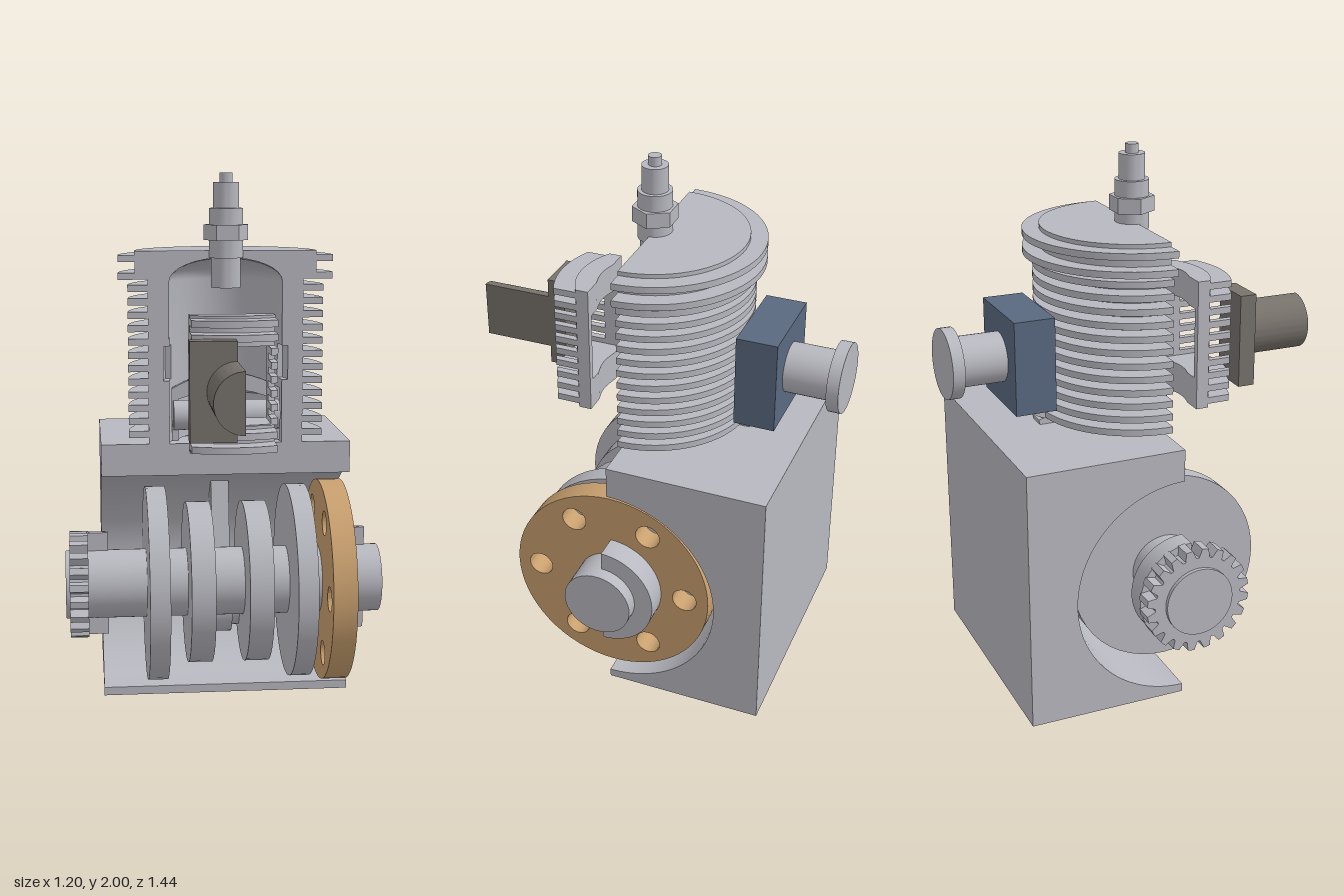
import * as THREE from 'three';
import { mergeGeometries, toCreasedNormals } from 'three/addons/utils/BufferGeometryUtils.js';

const CX = 0.0125, CZ = 0.02, CRANK_Y = 0.45; // bore axis and crank axis
const V = (x, y) => new THREE.Vector2(x, y);

export function createModel() {
  const group = new THREE.Group();
  const mat = (name, color) => {
    const m = new THREE.MeshStandardMaterial({ color });
    m.name = name;
    return m;
  };
  const metal = mat('light grey metal', 0xb8b8c0);
  const bronze = mat('bronze', 0xc9a06f);
  const blue = mat('slate blue', 0x5a6980);
  const brown = mat('exhaust brown', 0x78726c);

  const add = (name, geo, material, x = 0, y = 0, z = 0) => {
    const m = new THREE.Mesh(geo, material);
    m.name = name;
    m.position.set(x, y, z);
    group.add(m);
    return m;
  };
  const box = (name, material, x0, x1, y0, y1, z0, z1) =>
    add(name, new THREE.BoxGeometry(x1 - x0, y1 - y0, z1 - z0), material,
      (x0 + x1) / 2, (y0 + y1) / 2, (z0 + z1) / 2);
  const rodX = (name, x0, x1, r, y = CRANK_Y, z = CZ) =>
    add(name, new THREE.CylinderGeometry(r, r, x1 - x0, 48).rotateZ(Math.PI / 2), metal, (x0 + x1) / 2, y, z);
  const rodZ = (name, z0, z1, r, y) =>
    add(name, new THREE.CylinderGeometry(r, r, z1 - z0, 40).rotateX(Math.PI / 2), metal, CX, y, (z0 + z1) / 2);
  // side profile (u = -z, y) pushed along x
  const sideExtrude = (shape, x0, x1) => toCreasedNormals(
    new THREE.ExtrudeGeometry(shape, { depth: x1 - x0, bevelEnabled: false, curveSegments: 32 })
      .rotateY(Math.PI / 2).translate(x0, 0, 0), 0.6);
  const disc = (r, u = 0, y = 0, hole = 0) => {
    const s = new THREE.Shape().absarc(u, y, r, 0, Math.PI * 2);
    if (hole) s.holes.push(new THREE.Path().absarc(u, y, hole, 0, Math.PI * 2));
    return s;
  };
  // closed profile swept around y between two angles, with flat cut faces
  const sweep = (pts, a = Math.PI / 2, b = Math.PI * 1.5) => {
    const seg = Math.max(3, Math.round((b - a) * 12));
    const skin = toCreasedNormals(new THREE.LatheGeometry([...pts, pts[0]], seg, a, b - a), 0.5);
    const start = new THREE.ShapeGeometry(new THREE.Shape(pts)).rotateY(a - Math.PI / 2);
    const end = new THREE.ShapeGeometry(new THREE.Shape(pts.map(p => V(-p.x, p.y)))).rotateY(b - Math.PI * 1.5);
    return mergeGeometries([skin, start.toNonIndexed(), end.toNonIndexed()]);
  };

  // crankcase: half block with a half-round chamber
  const cs = new THREE.Shape([V(-CZ, 0), V(0.58, 0), V(0.58, 0.99), V(-CZ, 0.99), V(-CZ, 0.868)]);
  cs.absarc(-CZ, CRANK_Y, 0.418, Math.PI / 2, -Math.PI / 2, true);
  add('crankcase', sideExtrude(cs, -0.46, 0.49), metal);

  // half bearing sleeves on both ends
  for (const [x0, x1] of [[-0.52, -0.44], [0.46, 0.55]]) {
    const ring = sweep([V(0.13, x0), V(0.2, x0), V(0.2, x1), V(0.13, x1)]).rotateZ(-Math.PI / 2);
    add('bearingSleeve', ring, metal, 0, CRANK_Y, CZ);
  }

  // crankshaft with its webs and pin
  rodX('crankshaft', -0.6, 0.6, 0.13);
  for (const [x0, x1, r] of [[-0.295, -0.22, 0.37], [0.245, 0.32, 0.37], [-0.14, -0.05, 0.308], [0.075, 0.165, 0.308]])
    rodX('crankWeb', x0, x1, r);
  rodX('crankPin', -0.13, 0.172, 0.085, 0.31, -0.15);

  // flywheel with six holes
  const fw = disc(0.386);
  for (let i = 0; i < 6; i++) {
    const a = i * Math.PI / 3;
    fw.holes.push(new THREE.Path().absarc(0.293 * Math.cos(a), 0.293 * Math.sin(a), 0.047, 0, Math.PI * 2));
  }
  add('flywheel', sideExtrude(fw, 0.37, 0.46), bronze, 0, CRANK_Y, CZ);

  // toothed collar
  const gp = [], teeth = 20;
  for (let i = 0; i < teeth; i++)
    for (const [f, r] of [[0, 0.17], [0.2, 0.203], [0.6, 0.203], [0.8, 0.17]]) {
      const a = (i + f) / teeth * Math.PI * 2;
      gp.push(V(r * Math.cos(a), r * Math.sin(a)));
    }
  add('toothedCollar', sideExtrude(new THREE.Shape(gp), -0.585, -0.515), metal, 0, CRANK_Y, CZ);

  // connecting rod leaning backward
  const tilt = Math.atan2(0.19, 0.78);
  add('connectingRodBigEnd', sideExtrude(disc(0.11, 0.15, 0.31), -0.025, 0.045), metal);
  add('connectingRodSmallEnd', sideExtrude(disc(0.075, 0.34, 1.09, 0.052), -0.025, 0.045), metal);
  const shank = add('connectingRodShank', new THREE.BoxGeometry(0.07, 0.68, 0.1), metal, 0.01, 0.69, -0.2425);
  shank.rotation.x = -tilt;

  // finned half cylinder with domed head
  const finBottom = i => 1.015 + 0.05 * i;
  const barrelProfile = (port) => {
    const p = [V(0.2125, 0.985), V(0.292, 0.985)];
    const fin = (y, r, R) => p.push(V(r, y), V(R, y), V(R, y + 0.025), V(r, y + 0.025));
    for (let i = 0; i < 12; i++) fin(finBottom(i), 0.292, 0.367);
    p.push(V(0.292, 1.61), V(0.402, 1.61), V(0.402, 1.635), V(0.34, 1.635));
    fin(1.675, 0.34, 0.402);
    p.push(V(0.34, 1.716), V(0, 1.716));
    for (let i = 0; i <= 8; i++) {
      const a = i / 8 * Math.PI / 2;
      p.push(V(0.2125 * Math.sin(a), 1.6 + 0.09 * Math.cos(a)));
    }
    if (port) p.push(V(0.2125, 1.36), V(0.235, 1.36), V(0.235, 1.23), V(0.2125, 1.23));
    return p;
  };
  const q = Math.PI / 2, w = 0.3;
  add('cylinderBarrel', sweep(barrelProfile(false), q + w, 3 * q - w), metal, CX, 0, CZ);
  add('cylinderPortSide', sweep(barrelProfile(true), q, q + w), metal, CX, 0, CZ);
  add('cylinderPortSide', sweep(barrelProfile(true), 3 * q - w, 3 * q), metal, CX, 0, CZ);

  // half piston with domed crown, and its pin
  const crown = [];
  for (let i = 0; i <= 6; i++) {
    const r = 0.205 * (1 - i / 6);
    crown.push(V(r, 1.26 - 0.06 * (r / 0.205) ** 2));
  }
  add('piston', sweep([V(0.18, 1), V(0.205, 1), ...crown, V(0, 1.2), V(0.1, 1.185), V(0.18, 1.16)]), metal, CX, 0, CZ);
  rodX('pistonPin', -0.187, 0.213, 0.056, 1.1);

  // front wall segment with fins and a rectangular port, stacked in layers
  const wall = new THREE.Group();
  wall.name = 'frontWallSegment';
  wall.position.set(CX, 0, CZ);
  group.add(wall);
  const slab = (x0, x1, R, y0, y1) => {
    const outer = [], inner = [];
    for (let i = 0; i <= 16; i++) {
      const x = x0 + (x1 - x0) * i / 16;
      outer.unshift(V(x, Math.sqrt(R * R - x * x)));
      inner.push(V(x, Math.max(0.2, Math.sqrt(Math.max(0, 0.2125 ** 2 - x * x)))));
    }
    const g = new THREE.ExtrudeGeometry(new THREE.Shape([...inner, ...outer]), { depth: y1 - y0, bevelEnabled: false });
    const m = new THREE.Mesh(toCreasedNormals(g.rotateX(Math.PI / 2).translate(0, y1, 0), 0.5), metal);
    m.name = 'frontWallLayer';
    wall.add(m);
  };
  const portLow = 1.12, portHigh = 1.39;
  const cuts = [1, 1.5, portLow, portHigh];
  for (let i = 0; i < 10; i++) cuts.push(finBottom(i), finBottom(i) + 0.025);
  cuts.sort((a, b) => a - b);
  for (let i = 0; i + 1 < cuts.length; i++) {
    const y0 = cuts[i], y1 = cuts[i + 1], mid = (y0 + y1) / 2;
    if (y1 - y0 < 0.001) continue;
    const phase = (mid - 1.015 + 0.05) % 0.05;
    const R = phase < 0.025 ? 0.37 : 0.292;
    if (mid > portLow && mid < portHigh) {
      slab(-0.154, -0.128, R, y0, y1);
      slab(0.128, 0.154, R, y0, y1);
    } else slab(-0.154, 0.154, R, y0, y1);
  }

  // exhaust: flange and half pipe
  box('exhaustFlange', brown, -0.155, CX, 1.07, 1.428, 0.39, 0.455);
  const pipe = new THREE.Shape().absarc(0, 0, 0.108, Math.PI / 2, Math.PI * 1.5);
  add('exhaustPipe', toCreasedNormals(new THREE.ExtrudeGeometry(pipe,
    { depth: 0.266, bevelEnabled: false, curveSegments: 24 }), 0.5), brown, CX, 1.249, 0.454);

  // carburettor: block, neck and end flange
  box('carburettorBlock', blue, -0.157, 0.182, 1.09, 1.44, -0.503, -0.35);
  rodZ('carburettorNeck', -0.68, -0.5, 0.093, 1.265);
  rodZ('carburettorFlange', -0.718, -0.673, 0.13, 1.265);

  // spark plug
  for (const [name, r, y0, y1, n] of [['plugThread', 0.055, 1.58, 1.7, 32], ['plugSeat', 0.063, 1.69, 1.757, 32],
    ['plugHex', 0.083, 1.755, 1.812, 6], ['plugCollar', 0.063, 1.81, 1.872, 32],
    ['plugInsulator', 0.048, 1.87, 1.966, 32], ['plugTerminal', 0.024, 1.965, 2, 24]]) {
    const g = toCreasedNormals(new THREE.CylinderGeometry(r, r, y1 - y0, n).rotateY(Math.PI / 6), 0.5);
    add(name, g, metal, CX, (y0 + y1) / 2, CZ);
  }
  return group;
}
